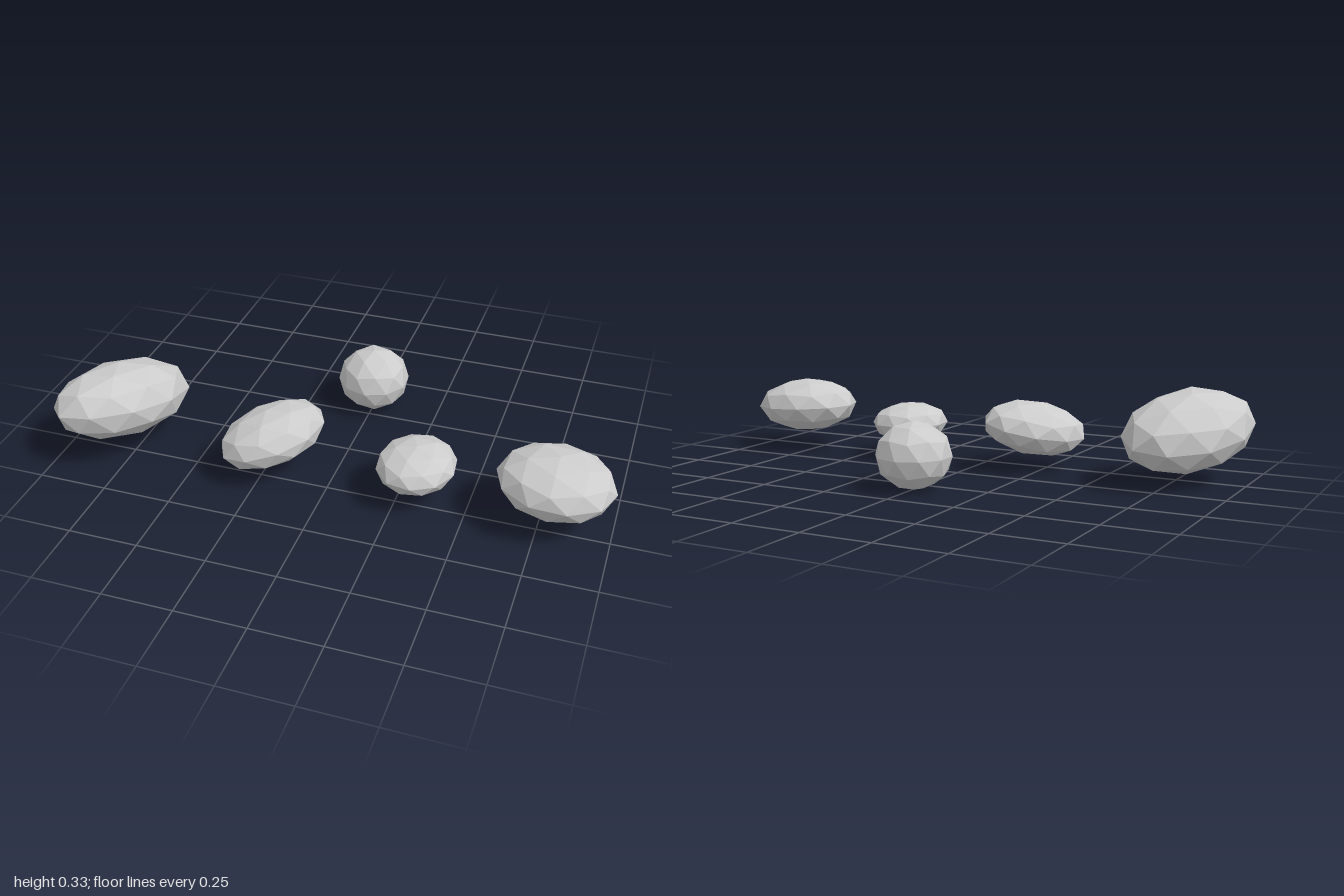
import * as THREE from 'three';

// Each stone: name, centre, local radii, rotation (yaw first, then pitch, then roll)
const STONES = [
  { name: 'largeTiltedStone', at: [-0.805, 0.192, 0.205], radii: [0.184, 0.136, 0.28], turn: [-0.23, -0.41, 0.12] },
  { name: 'mediumTiltedStone', at: [-0.218, 0.155, 0.202], radii: [0.154, 0.097, 0.204], turn: [0, -0.69, 0.23] },
  { name: 'smallFlatStone', at: [0.312, 0.138, 0.2], radii: [0.155, 0.077, 0.14], turn: [0, 1.4, 0] },
  { name: 'wideFlatStone', at: [0.795, 0.175, 0.2], radii: [0.178, 0.105, 0.205], turn: [0, Math.PI / 2, -0.04] },
  { name: 'roundStone', at: [-0.005, 0.12, -0.328], radii: [0.134, 0.12, 0.138], turn: [0, 0.03, 0] },
];

export function createModel() {
  const group = new THREE.Group();
  const material = new THREE.MeshStandardMaterial({ color: 0xcccccc, flatShading: true });

  // Shared faceted ball, turned so a corner points straight up
  const ball = new THREE.IcosahedronGeometry(1, 1);
  ball.rotateZ(Math.atan(2 / (1 + Math.sqrt(5))));

  for (const { name, at, radii, turn } of STONES) {
    const stone = new THREE.Mesh(ball, material);
    stone.name = name;
    stone.position.set(...at);
    stone.scale.set(...radii);
    stone.rotation.set(...turn, 'ZXY');
    group.add(stone);
  }
  return group;
}
